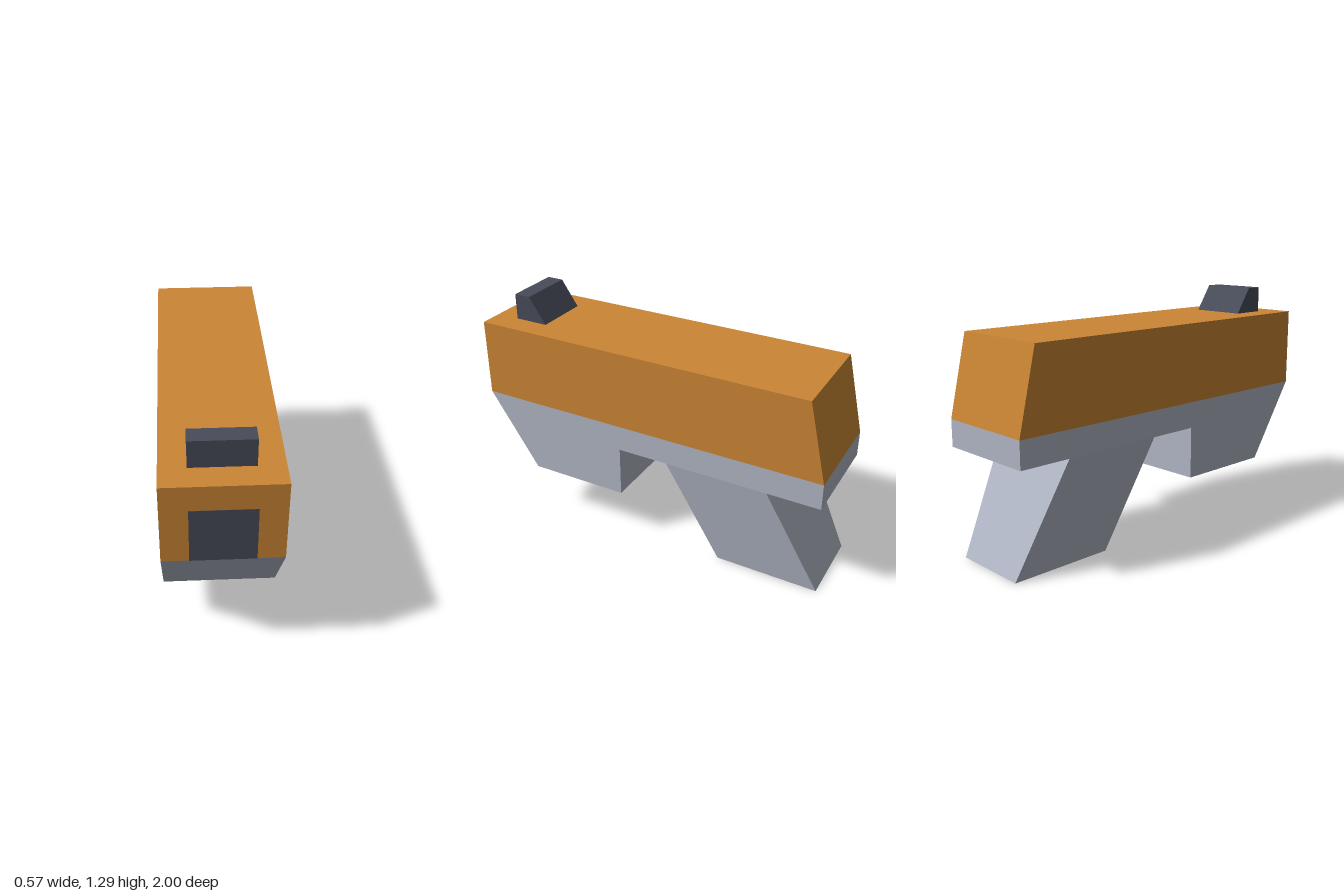
import * as THREE from 'three';

// Prism from a side profile of [z, y] points, centred across x
function prism(points, width) {
  const shape = new THREE.Shape(points.map(([z, y]) => new THREE.Vector2(z, y)));
  const geo = new THREE.ExtrudeGeometry(shape, { depth: width, bevelEnabled: false });
  geo.rotateY(-Math.PI / 2);
  geo.translate(width / 2, 0, 0);
  return geo;
}

export function createModel() {
  const group = new THREE.Group();
  const material = (name, color) => {
    const m = new THREE.MeshStandardMaterial({ color, flatShading: true });
    m.name = name;
    return m;
  };
  const orange = material('orange', 0xcb8634);
  const lightGrey = material('lightGrey', 0xb0b6c4);
  const darkGrey = material('darkGrey', 0x484c59);

  const add = (name, geo, mat) => {
    const mesh = new THREE.Mesh(geo, mat);
    mesh.name = name;
    group.add(mesh);
    return mesh;
  };

  const width = 0.57, seam = 0.714, under = 0.571, top = 1.143;

  // Upper body with a sloped back
  add('upperBody', prism([[1, seam], [1, top], [-0.9, top], [-1, seam]], width), orange);

  // Lower frame with a sloped nose block
  add('lowerFrame', prism([
    [1, seam], [-1, seam], [-1, under], [0.143, under], [0.143, 0.287], [0.714, 0.287],
  ], width), lightGrey);

  // Slanted grip, narrowing towards its foot
  const grip = prism([[-0.143, under], [-0.714, under], [-1, 0], [-0.429, 0]], width);
  const pos = grip.attributes.position;
  for (let i = 0; i < pos.count; i++) {
    pos.setX(i, pos.getX(i) * THREE.MathUtils.lerp(0.75, 1, pos.getY(i) / under));
  }
  grip.computeVertexNormals();
  add('grip', grip, lightGrey);

  // Wedge-shaped front sight
  add('frontSight', prism([[0.868, top], [0.868, 1.286], [0.775, 1.286], [0.678, top]], 0.31), darkGrey);

  // Square muzzle panel on the front face
  const muzzle = add('muzzlePanel', new THREE.BoxGeometry(0.31, 0.296, 0.004), darkGrey);
  muzzle.position.set(0, seam + 0.148, 1);

  return group;
}
